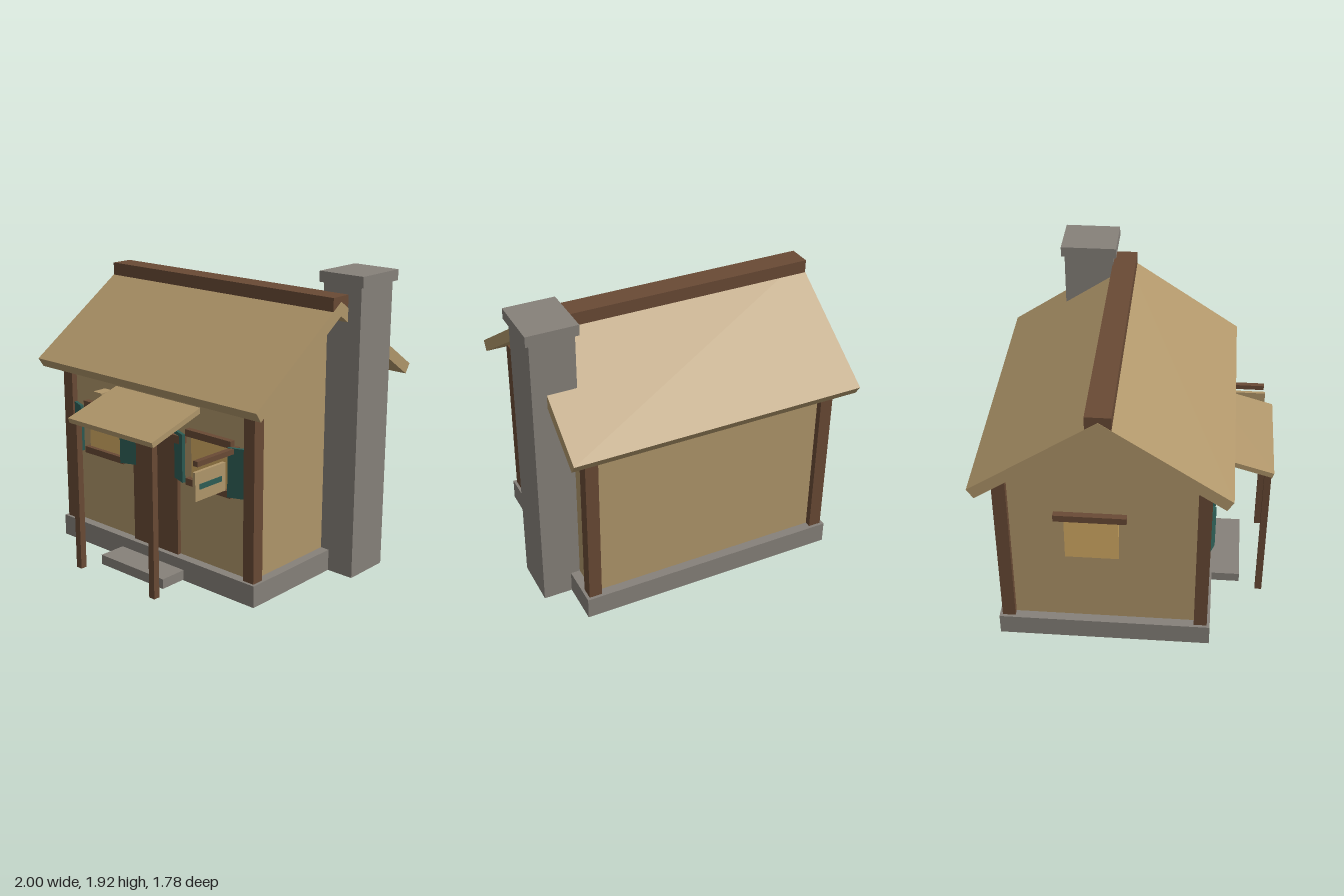
import * as THREE from 'three';

const material = (name, color) => {
  const m = new THREE.MeshStandardMaterial({ color });
  m.name = name;
  return m;
};

export function createModel() {
  const model = new THREE.Group();
  model.name = 'cottage';
  const tan = material('tan plaster', 0xb0966a);
  const brown = material('dark timber', 0x694a35);
  const grey = material('grey stone', 0x86817a);
  const teal = material('teal paint', 0x2d5d55);
  const amber = material('amber glass', 0xd6ae66);

  // Box from its min and max along each axis
  const box = (name, mat, [x0, x1], [y0, y1], [z0, z1], parent = model) => {
    const mesh = new THREE.Mesh(new THREE.BoxGeometry(x1 - x0, y1 - y0, z1 - z0), mat);
    mesh.position.set((x0 + x1) / 2, (y0 + y1) / 2, (z0 + z1) / 2);
    mesh.name = name;
    parent.add(mesh);
    return mesh;
  };

  // Profile of [z, y] points extruded along x from x0 to x1
  const prism = (name, mat, points, x0, x1) => {
    const shape = new THREE.Shape(points.map(([z, y]) => new THREE.Vector2(-z, y)));
    const geo = new THREE.ExtrudeGeometry(shape, { depth: x1 - x0, bevelEnabled: false });
    geo.rotateY(Math.PI / 2);
    geo.translate(x0, 0, 0);
    const mesh = new THREE.Mesh(geo, mat);
    mesh.name = name;
    model.add(mesh);
    return mesh;
  };

  const cx = -0.06, cz = -0.125; // middle of the house

  // Stone base and doorstep
  box('foundation', grey, [-0.91, 0.79], [0, 0.14], [-0.79, 0.54]);
  box('doorstep', grey, [-0.34, 0.215], [0.006, 0.07], [0.5, 0.725]);

  // Walls with gables
  prism('walls', tan, [
    [cz + 0.605, 0.13], [cz + 0.605, 1.25], [cz, 1.66], [cz - 0.605, 1.25], [cz - 0.605, 0.13],
  ], cx - 0.79, cx + 0.79);

  // Corner posts
  for (const sx of [-1, 1]) for (const sz of [-1, 1]) {
    const x = cx + sx * 0.79, z = cz + sz * 0.605;
    box('cornerPost', brown, [x - 0.041, x + 0.041], [0.14, 1.262], [z - 0.041, z + 0.041]);
  }

  // Roof and ridge beam
  prism('roof', tan, [
    [cz + 0.725, 1.19], [cz + 0.765, 1.25], [cz, 1.767], [cz - 0.765, 1.25],
    [cz - 0.725, 1.19], [cz, 1.68],
  ], -1, 0.882);
  box('ridgeBeam', brown, [-0.998, 0.88], [1.705, 1.8], [cz - 0.075, cz + 0.075]);

  // Chimney
  box('chimney', grey, [0.698, 0.973], [0, 1.86], [-0.515, -0.195]);
  box('chimneyCap', grey, [0.678, 0.998], [1.855, 1.922], [-0.535, -0.175]);

  // Door and lintel
  box('door', brown, [cx - 0.195, cx + 0.195], [0.14, 0.9], [0.47, 0.506]);
  box('doorLintel', brown, [cx - 0.252, cx + 0.252], [0.888, 0.94], [0.47, 0.53]);

  // Front windows with open shutters
  for (const side of [-1, 1]) {
    const window = new THREE.Group();
    window.name = 'frontWindow';
    window.position.x = cx + side * 0.46;
    model.add(window);
    box('pane', amber, [-0.16, 0.16], [0.65, 0.97], [0.481, 0.49], window);
    box('windowHeader', brown, [-0.183, 0.183], [0.948, 0.992], [0.475, 0.519], window);
    box('windowSill', brown, [-0.183, 0.183], [0.635, 0.678], [0.475, 0.519], window);
    for (const s of [-1, 1]) {
      const shutter = box('shutter', teal, [-0.066, 0.066], [0.653, 0.962], [-0.01, 0.01], window);
      shutter.position.x = s * 0.242;
      shutter.position.z = 0.513;
      shutter.rotation.y = s * 0.36;
    }
  }

  // Side window
  box('sidePane', amber, [-0.86, -0.851], [0.64, 0.96], [-0.36, -0.03]);
  box('sideWindowHeader', brown, [-0.89, -0.845], [0.945, 0.99], [-0.42, 0.02]);

  // Porch roof and its posts
  prism('porchRoof', tan, [
    [0.88, 0.98], [0.89, 1.013], [0.465, 1.14], [0.455, 1.108],
  ], cx - 0.367, cx + 0.367);
  for (const s of [-1, 1]) {
    const x = cx + s * 0.33;
    box('porchPost', brown, [x - 0.022, x + 0.022], [0.014, 0.995], [0.832, 0.875]);
  }

  // Small block above the left-hand window
  box('wallBlock', tan, [-0.537, -0.461], [0.985, 1.098], [0.47, 0.58]);

  // Hanging sign on its arm
  box('signArm', brown, [0.589, 0.623], [0.928, 0.96], [0.47, 0.842]);
  box('signBoard', tan, [0.595, 0.617], [0.72, 0.895], [0.6, 0.855]);
  for (const [x0, x1] of [[0.59, 0.596], [0.616, 0.622]]) {
    box('signStripe', teal, [x0, x1], [0.788, 0.82], [0.635, 0.82]);
  }

  return model;
}
